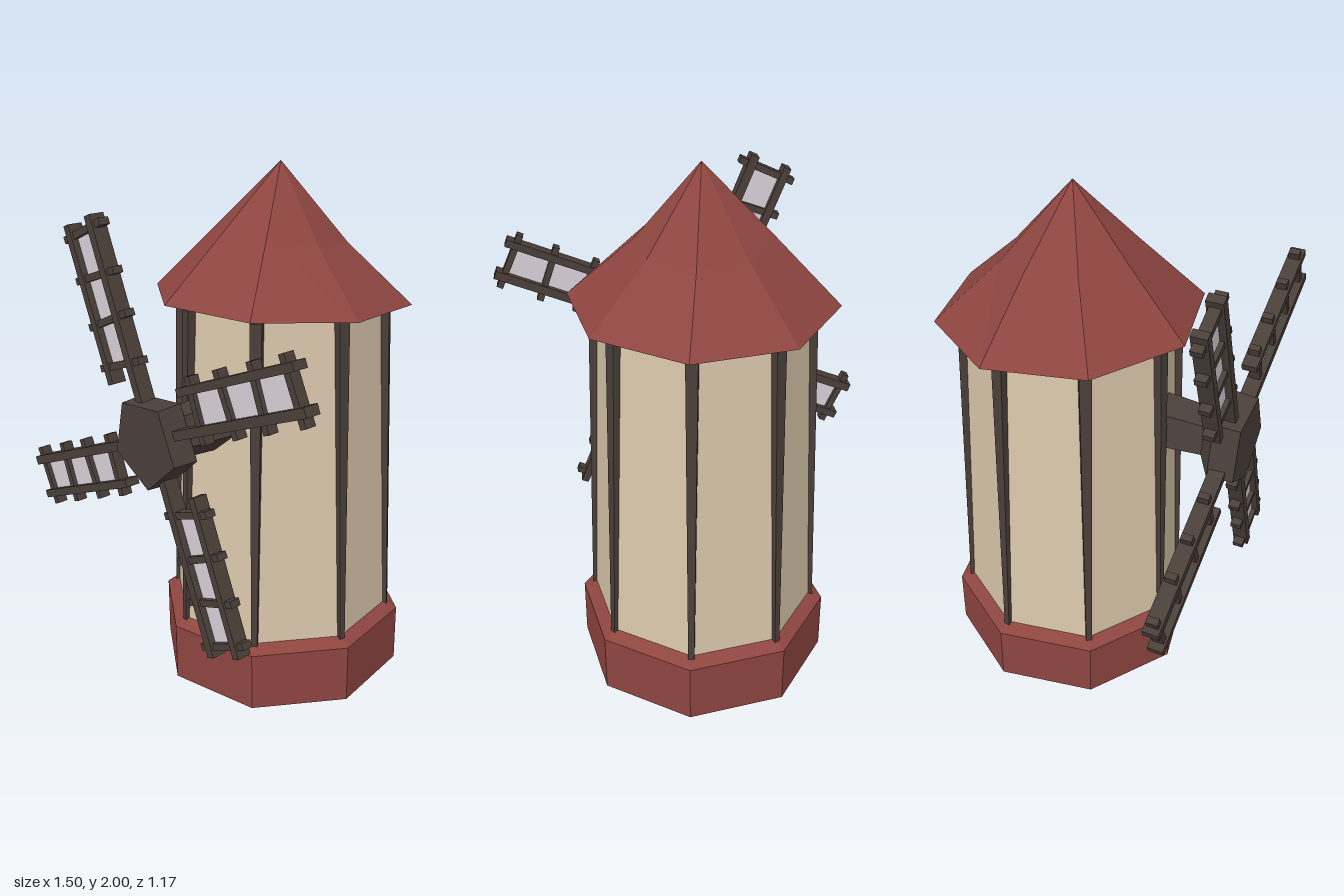
import * as THREE from 'three';

const mat = (name, color) => {
  const m = new THREE.MeshStandardMaterial({ color, flatShading: true, side: THREE.DoubleSide });
  m.name = name;
  return m;
};

export function createModel() {
  const red = mat('roof red', 0x8e4540);
  const cream = mat('plaster cream', 0xdbc8ac);
  const wood = mat('dark wood', 0x4a3f39);
  const cloth = mat('sail cloth', 0xd8d0d8);

  const model = new THREE.Group();
  model.name = 'windmill';

  const add = (parent, name, geometry, material, x = 0, y = 0, z = 0) => {
    const mesh = new THREE.Mesh(geometry, material);
    mesh.name = name;
    mesh.position.set(x, y, z);
    parent.add(mesh);
    return mesh;
  };
  const lathe = (points, sides, start) =>
    new THREE.LatheGeometry(points.map(p => new THREE.Vector2(...p)), sides, start);

  // Octagonal tower, slightly behind the centre to leave room for the sails
  const turn = THREE.MathUtils.degToRad(32.5);
  const tower = new THREE.Group();
  tower.name = 'tower';
  tower.position.set(-0.015, 0, -0.105);
  model.add(tower);

  add(tower, 'base', lathe([[0.485, 0], [0.485, 0.23], [0.43, 0.26]], 8, turn), red);
  add(tower, 'walls', lathe([[0.435, 0.25], [0.385, 1.5]], 8, turn), cream);

  // Corner posts, narrower at the foot
  const up = new THREE.Vector3(0, 1, 0);
  for (let i = 0; i < 8; i++) {
    const a = turn + i * Math.PI / 4;
    const foot = new THREE.Vector3(Math.sin(a) * 0.435, 0.25, Math.cos(a) * 0.435);
    const head = new THREE.Vector3(Math.sin(a) * 0.385, 1.5, Math.cos(a) * 0.385);
    const dir = head.clone().sub(foot);
    const geo = new THREE.CylinderGeometry(0.031, 0.016, dir.length(), 4);
    geo.rotateY(a + Math.PI / 4);
    const mid = foot.add(head).multiplyScalar(0.5);
    const post = add(tower, 'cornerPost', geo, wood, mid.x, mid.y, mid.z);
    post.quaternion.setFromUnitVectors(up, dir.normalize());
  }

  // Roof: tilted up at the front, sagging a little at the back and left
  const roof = lathe([[0, 1.485], [0.37, 1.485], [0.488, 1.508], [0.245, 1.755], [0, 2]], 8, turn);
  const p = roof.attributes.position;
  for (let i = 0; i < p.count; i++) {
    const x = p.getX(i), y = p.getY(i), z = p.getZ(i);
    const sag = y > 1.7 && y < 1.8 && x - z > 0.05 ? 0.035 : 0;
    const lean = y > 1.9 ? 0.012 : 0;
    p.setXYZ(i, x + lean * 0.4, y + z * 0.046 - sag, z + lean);
  }
  add(tower, 'roof', roof, red);

  // Axle flaring into a five-sided hub
  const hub = lathe([[0.11, 0.24], [0.095, 0.44], [0.175, 0.49], [0.168, 0.587], [0, 0.587]], 5, 0.09);
  hub.rotateX(Math.PI / 2);
  add(model, 'hub', hub, wood, 0.005, 1.1, 0);

  // Four sails: an arm, a parallel rail, rungs and cloth panels
  const rungs = [0.28, 0.44, 0.6, 0.76];
  for (let k = 0; k < 4; k++) {
    const sail = new THREE.Group();
    sail.name = 'sail';
    sail.position.set(0, 1.105, 0.525);
    sail.rotation.z = THREE.MathUtils.degToRad(22 + 90 * k);
    model.add(sail);
    add(sail, 'arm', new THREE.BoxGeometry(0.7, 0.034, 0.06), wood, 0.45, 0, 0);
    add(sail, 'rail', new THREE.BoxGeometry(0.58, 0.03, 0.058), wood, 0.51, 0.14, 0);
    rungs.forEach((r, i) => {
      const rung = add(sail, 'rung', new THREE.BoxGeometry(0.026, 0.235, 0.042), wood, r, 0.068, 0);
      rung.rotation.z = (i % 2 ? 1 : -1) * 0.04;
      if (i < 3) {
        add(sail, 'clothPanel', new THREE.BoxGeometry(0.16, 0.13, 0.008), cloth, r + 0.08, 0.07, 0);
      }
    });
  }

  return model;
}
